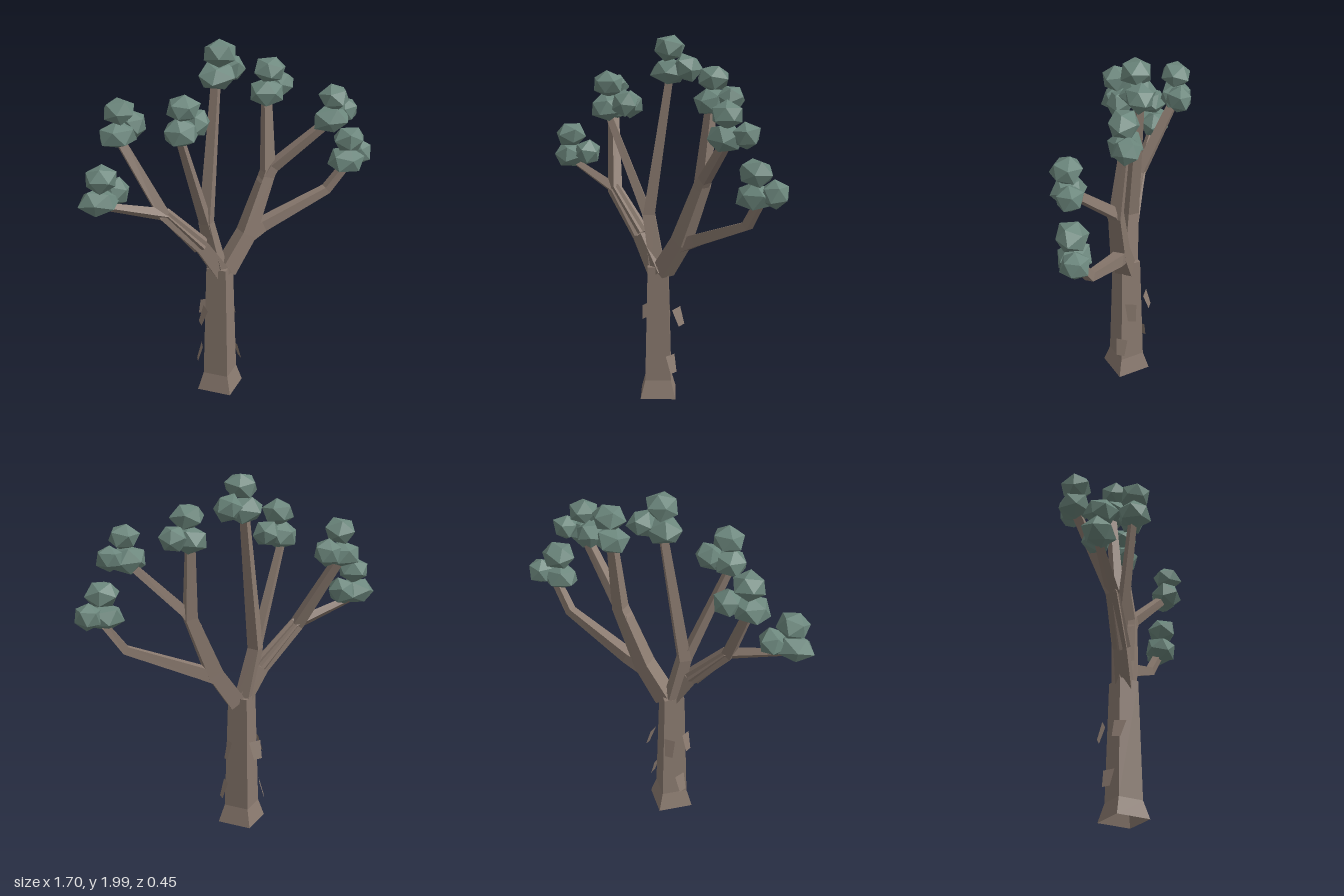
import * as THREE from 'three';

const bark = new THREE.MeshStandardMaterial({ color: 0x8a7a6f, flatShading: true, side: THREE.DoubleSide });
bark.name = 'bark';
const foliage = new THREE.MeshStandardMaterial({ color: 0x6c877d, flatShading: true });
foliage.name = 'foliage';

// Four-sided sweep along points [x, y, z, radius], open at the start, capped at the end
function limb(name, points, turn = 0) {
  const centres = points.map(p => new THREE.Vector3(p[0], p[1], p[2]));
  const forward = new THREE.Vector3(0, 0, 1);
  const pos = [], index = [];
  centres.forEach((c, i) => {
    const t = new THREE.Vector3();
    if (i > 0) t.add(c.clone().sub(centres[i - 1]).normalize());
    if (i < centres.length - 1) t.add(centres[i + 1].clone().sub(c).normalize());
    t.normalize();
    const v = t.clone().cross(forward).normalize();
    const u = v.clone().cross(t);
    for (let k = 0; k < 4; k++) {
      const a = turn + k * Math.PI / 2, r = points[i][3];
      const p = c.clone().addScaledVector(v, Math.cos(a) * r).addScaledVector(u, Math.sin(a) * r);
      pos.push(p.x, p.y, p.z);
      if (i > 0) {
        const n = (k + 1) % 4, lo = (i - 1) * 4, hi = i * 4;
        index.push(lo + k, hi + k, lo + n, lo + n, hi + k, hi + n);
      }
    }
  });
  const e = (centres.length - 1) * 4;
  index.push(e, e + 3, e + 2, e, e + 2, e + 1);
  const g = new THREE.BufferGeometry();
  g.setAttribute('position', new THREE.Float32BufferAttribute(pos, 3));
  g.setIndex(index);
  const flat = g.toNonIndexed();
  flat.computeVertexNormals();
  const mesh = new THREE.Mesh(flat, bark);
  mesh.name = name;
  return mesh;
}

// Irregular faceted blob; equal corners get equal jitter so the surface stays closed
function leafBlob(x, y, z, rx, ry, rz, seed) {
  const g = new THREE.IcosahedronGeometry(1, 0);
  g.rotateZ(seed * 1.3);
  g.rotateY(seed * 2.1);
  const p = g.attributes.position, v = new THREE.Vector3();
  for (let i = 0; i < p.count; i++) {
    v.fromBufferAttribute(p, i);
    const h = Math.sin(Math.round(v.x * 100) * 12.9 + Math.round(v.y * 100) * 7.2 + Math.round(v.z * 100) * 3.7 + seed) * 437.5;
    v.multiplyScalar(0.98 + 0.2 * (h - Math.floor(h)));
    p.setXYZ(i, v.x * rx, v.y * ry, v.z * rz);
  }
  g.computeVertexNormals();
  const mesh = new THREE.Mesh(g, foliage);
  mesh.position.set(x, y, z);
  mesh.name = 'leafBlob';
  return mesh;
}

// Loose bark flake, wider at its top and lifting away at the bottom
function barkFlake(x, y, z, heading, roll) {
  const shape = new THREE.Shape([[-0.033, 0.05], [-0.023, -0.05], [0.023, -0.05], [0.033, 0.05]]
    .map(([a, b]) => new THREE.Vector2(a, b)));
  const mesh = new THREE.Mesh(new THREE.ShapeGeometry(shape), bark);
  mesh.position.set(x, y, z);
  mesh.rotation.set(-0.28, heading, roll, 'YXZ');
  mesh.name = 'barkFlake';
  return mesh;
}

export function createModel() {
  const tree = new THREE.Group();
  tree.name = 'tree';

  // Trunk with flared foot
  tree.add(limb('trunk', [
    [-0.065, 0, 0.004, 0.136], [-0.065, 0.1, 0.004, 0.1], [-0.065, 0.75, 0.004, 0.079],
  ]));

  // Boughs and the branches that fork from them
  const sq = Math.PI / 4;
  tree.add(
    limb('rightBoughUpper', [[-0.18, 0.9, 0.02, 0.05], [-0.39, 1.12, 0.025, 0.042], [-0.56, 1.5, -0.12, 0.032]], sq),
    limb('rightBoughBase', [[-0.05, 0.7, 0.01, 0.06], [-0.18, 0.9, 0.02, 0.05]], sq),
    limb('rightLowBranch', [[-0.18, 0.9, 0.02, 0.05], [-0.38, 1.12, 0.025, 0.036], [-0.74, 1.24, 0.04, 0.02]]),
    limb('middleBough', [[-0.07, 0.7, 0, 0.06], [-0.14, 1.02, 0, 0.045], [-0.05, 1.78, -0.07, 0.028]]),
    limb('middleBranch', [[-0.1, 0.85, 0, 0.045], [-0.15, 1.03, 0.01, 0.036], [-0.33, 1.56, 0.12, 0.024]]),
    limb('leftBough', [[-0.03, 0.72, 0, 0.065], [0.1, 0.91, -0.01, 0.06], [0.235, 1.24, -0.03, 0.046], [0.245, 1.66, -0.08, 0.03]], sq),
    limb('leftForkBranch', [[0.2, 1.18, -0.025, 0.04], [0.26, 1.27, -0.02, 0.038], [0.53, 1.53, 0.1, 0.03]], sq),
    limb('leftLowBranch', [[0.06, 0.87, -0.01, 0.05], [0.2, 0.935, -0.025, 0.045], [0.58, 1.09, 0, 0.032], [0.69, 1.24, 0.03, 0.028]], sq),
  );

  // Leaf clusters: x, y, z of the lowest blob and its width
  const clusters = [
    [-0.745, 1.265, 0.05, 0.1], [-0.575, 1.54, -0.13, 0.1], [-0.33, 1.6, 0.13, 0.088],
    [-0.05, 1.8, -0.06, 0.108], [0.25, 1.67, -0.08, 0.09], [0.53, 1.54, 0.115, 0.1], [0.67, 1.265, 0.05, 0.1],
  ];
  clusters.forEach(([x, y, z, r], i) => {
    const cluster = new THREE.Group();
    cluster.name = 'leafCluster';
    cluster.add(
      leafBlob(x, y, z, r, 0.07, 0.085, i + 1),
      leafBlob(x + 0.1, y + 0.025, z - 0.04, 0.073, 0.07, 0.073, i + 9),
      leafBlob(x + 0.012, y + 0.122, z + 0.005, 0.084, 0.067, 0.078, i + 17),
    );
    tree.add(cluster);
  });

  // Bark flakes around the trunk
  const q = Math.PI / 2;
  tree.add(
    barkFlake(0.042, 0.2, 0.003, q, 0),
    barkFlake(-0.162, 0.2, -0.056, -q - 0.3, 0),
    barkFlake(0.037, 0.46, -0.055, q, 0.15),
    barkFlake(-0.112, 0.46, -0.105, Math.PI, 0.1),
    barkFlake(-0.165, 0.46, 0, -q, -0.15),
  );
  return tree;
}
